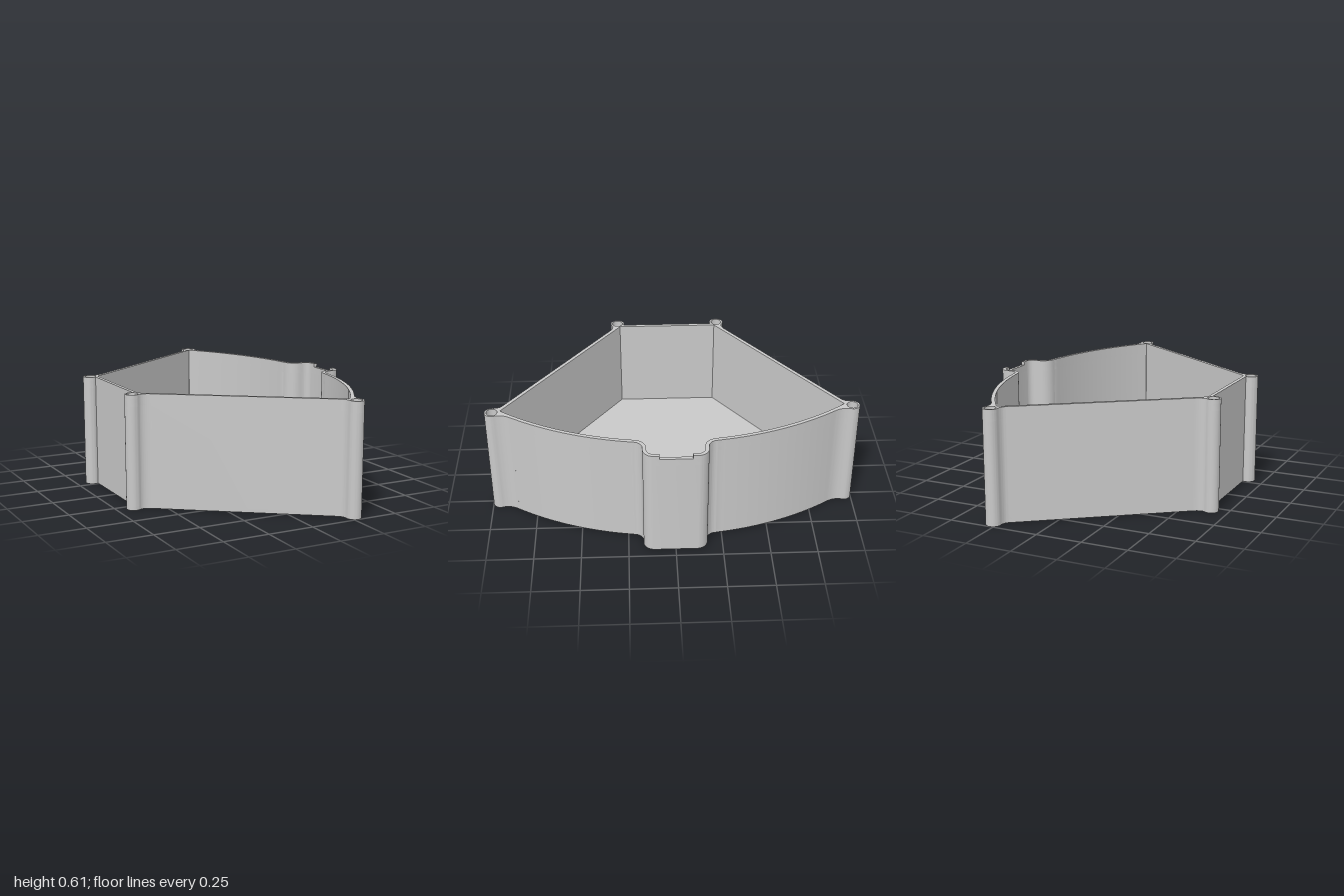
import * as THREE from 'three';
import { toCreasedNormals } from 'three/addons/utils/BufferGeometryUtils.js';

const H = 0.61;          // wall height
const BASE = 0.02;       // base thickness
const FLOOR = 0.094;     // top of the raised floor
const HOLE_Y = 0.55;     // bottom of the blind post holes
const NOTCH_Y = 0.59;    // bottom of the tab notch
const NOTCH_Z = 0.085;   // half width of the notch
const CX = -0.96;        // centre of the curved side
const POSTS = [[-0.657, 0.295], [0.27, 0.96]];
const rad = THREE.MathUtils.degToRad;

// Adds the S-bend from the curved side round the corner of the tab
function tabBend(path, concave, convex) {
  path.absarc(0.62, 0.22, concave, Math.PI, Math.PI * 1.5, false);
  path.absarc(0.64, 0.112, convex, Math.PI / 2, 0, true);
}

// Half of the outer contour (plan x, z), from the narrow end to the tab
function outerHalf() {
  const p = new THREE.Path();
  p.moveTo(-0.64, 0.2);
  p.lineTo(-0.64, 0.245);
  p.absarc(...POSTS[0], 0.04, rad(-65), rad(-310), true);
  p.quadraticCurveTo(-0.605, 0.3155, -0.57, 0.341);
  p.lineTo(0.21, 0.9076);
  p.quadraticCurveTo(0.23, 0.922, 0.2306, 0.953);
  p.absarc(...POSTS[1], 0.04, rad(190), rad(-10), true);
  p.quadraticCurveTo(0.292, 0.905, 0.327, 0.855);
  p.absarc(CX, 0, 1.545, Math.asin(0.855 / 1.545), Math.asin(0.222 / 1.545), true);
  tabBend(p, 0.05, 0.058);
  return p.getPoints(12);
}

// Half of the inner contour
function innerHalf() {
  const p = new THREE.Path();
  p.moveTo(-0.62, 0.28);
  p.lineTo(0.257, 0.917);
  p.absarc(CX, 0, 1.525, Math.asin(0.917 / 1.525), Math.asin(0.222 / 1.525), true);
  tabBend(p, 0.07, 0.038);
  return p.getPoints(12);
}

// Mirrors a half contour: runs from the tab at -z, round the narrow end, to the tab at +z
const mirrored = (half) => [
  ...half.map((v) => new THREE.Vector2(v.x, -v.y)).reverse(),
  ...half,
];

// Extrudes a plan shape between two heights
function slab(shape, y0, y1) {
  const g = new THREE.ExtrudeGeometry(shape, { depth: y1 - y0, bevelEnabled: false });
  g.rotateX(-Math.PI / 2);
  g.translate(0, y0, 0);
  return toCreasedNormals(g, 0.5);
}

function addPostHoles(shape) {
  for (const [x, z] of POSTS) {
    for (const s of [1, -1]) {
      shape.holes.push(new THREE.Path().absarc(x, s * z, 0.03, 0, Math.PI * 2, false));
    }
  }
  return shape;
}

export function createModel() {
  const group = new THREE.Group();
  group.name = 'tray';
  const grey = new THREE.MeshStandardMaterial({ color: 0xc9c9c9 });
  grey.name = 'grey';
  const add = (name, geometry) => {
    const mesh = new THREE.Mesh(geometry, grey);
    mesh.name = name;
    group.add(mesh);
  };

  // The inner contour runs the opposite way, so that its walls face inwards
  const outer = mirrored(outerHalf());
  const inner = mirrored(innerHalf()).reverse();
  const ring = () => {
    const s = new THREE.Shape(outer);
    s.holes.push(new THREE.Path(inner));
    return s;
  };

  // Base under the whole tray
  add('base', slab(new THREE.Shape(outer), 0, BASE));

  // Walls: solid posts below, blind holes above
  add('wall', slab(ring(), BASE, HOLE_Y));
  add('wallWithPostHoles', slab(addPostHoles(ring()), HOLE_Y, NOTCH_Y));

  // Rim, left open at the tab to form the notch
  const v = (x, z) => new THREE.Vector2(x, z);
  const rim = new THREE.Shape([
    v(0.698, -NOTCH_Z), ...outer, v(0.698, NOTCH_Z),
    v(0.678, NOTCH_Z), ...inner, v(0.678, -NOTCH_Z),
  ]);
  add('rim', slab(addPostHoles(rim), NOTCH_Y, H));

  // Raised floor, ending in an arc short of the curved wall
  const a = Math.atan2(0.824, 0.129 - CX);
  const floor = new THREE.Shape();
  floor.moveTo(-0.62, 0.28);
  floor.lineTo(-0.62, -0.28);
  floor.lineTo(0.129, -0.824);
  floor.absarc(CX, 0, 1.366, -a, a, false);
  floor.lineTo(-0.62, 0.28);
  add('raisedFloor', slab(floor, BASE, FLOOR));

  return group;
}
